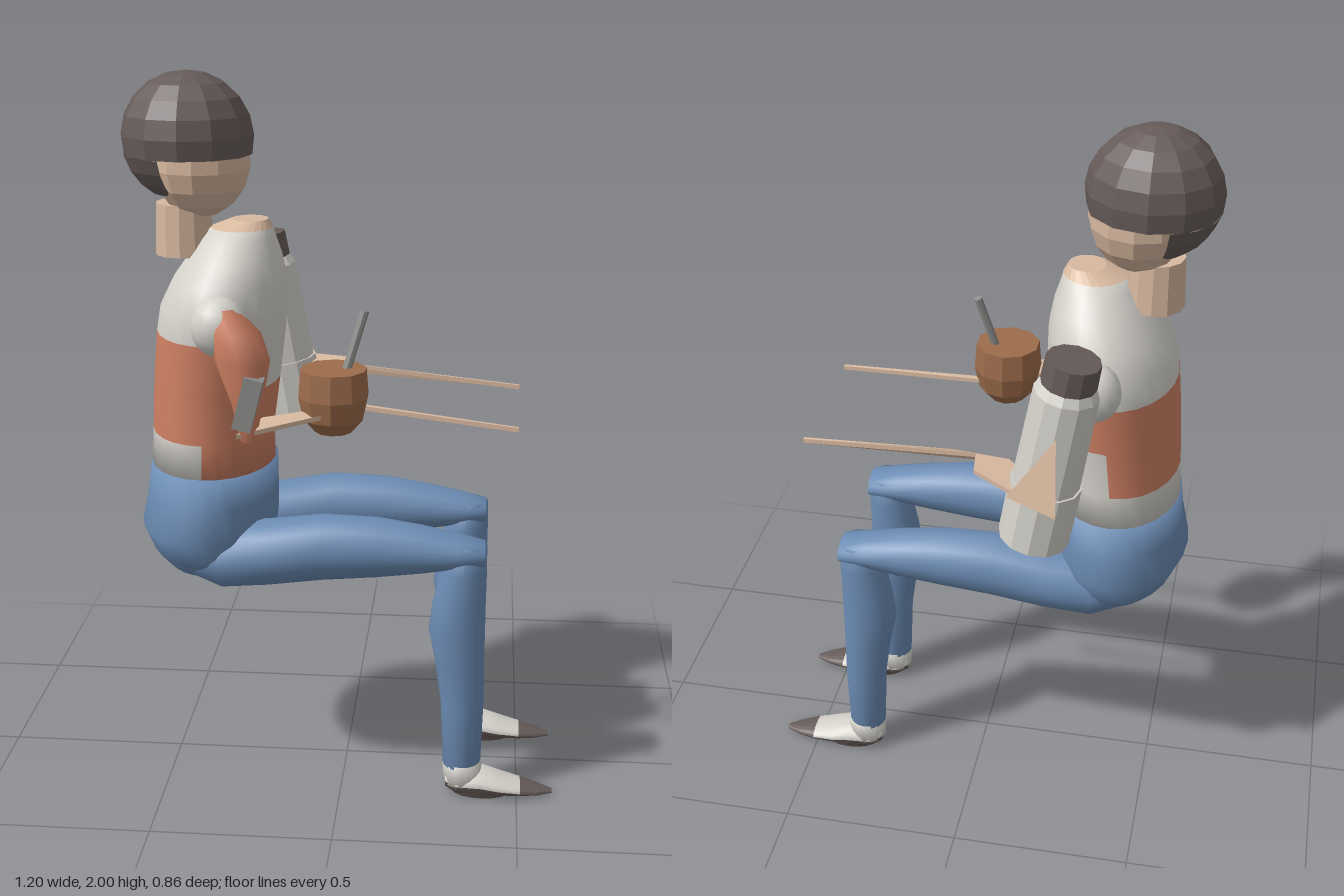
import * as THREE from 'three';

const mat = (name, color, side = THREE.FrontSide, flatShading = false) => {
  const m = new THREE.MeshStandardMaterial({ color });
  m.name = name;
  m.side = side;
  m.flatShading = flatShading;
  return m;
};

export function createModel() {
  const root = new THREE.Group();
  const dark = mat('dark brown', 0x665b59, THREE.DoubleSide, true);
  const skin = mat('skin', 0xd8b9a0, THREE.DoubleSide, true);
  const white = mat('off white', 0xd5d2cb);
  const orange = mat('orange', 0xce8063);
  const blue = mat('denim blue', 0x6c8cb4);
  const brown = mat('gourd brown', 0x9d6c4b, THREE.FrontSide, true);
  const grey = mat('grey', 0x8e8e8c, THREE.FrontSide, true);

  const add = (name, geo, material, x = 0, y = 0, z = 0, parent = root) => {
    const m = new THREE.Mesh(geo, material);
    m.name = name;
    m.position.set(x, y, z);
    parent.add(m);
    return m;
  };

  // Skin over elliptical rings [x, y, z, radiusU, radiusZ-like], ascending along the axis.
  // pick(row, angle) chooses the material index of each face.
  const loft = (rings, axis = 'y', n = 16, pick = () => 0) => {
    const pos = [], buckets = [];
    for (const [x, y, z, ru, rv] of rings) {
      for (let j = 0; j < n; j++) {
        const a = (j / n) * Math.PI * 2, c = Math.cos(a), s = Math.sin(a);
        if (axis === 'y') pos.push(x + ru * c, y, z + rv * s);
        else pos.push(x, y + ru * s, z + rv * c);
      }
    }
    const last = (rings.length - 1) * n, c0 = rings.length * n;
    pos.push(...rings[0].slice(0, 3), ...rings[rings.length - 1].slice(0, 3));
    const put = (k, ...ids) => (buckets[k] ??= []).push(...ids);
    for (let j = 0; j < n; j++) {
      const k = (j + 1) % n, angle = ((j + 0.5) / n) * 360;
      for (let i = 0; i < rings.length - 1; i++) {
        const a = i * n + j, b = i * n + k;
        put(pick(i, angle), a, a + n, b + n, a, b + n, b);
      }
      put(pick(0, angle), c0, j, k);
      put(pick(rings.length - 2, angle), c0 + 1, last + k, last + j);
    }
    const g = new THREE.BufferGeometry();
    g.setAttribute('position', new THREE.Float32BufferAttribute(pos, 3));
    g.setIndex(buckets.flat());
    let start = 0;
    buckets.forEach((b, i) => { g.addGroup(start, b.length, i); start += b.length; });
    g.computeVertexNormals();
    return g;
  };

  // Head, hair and neck
  const face = add('face', new THREE.SphereGeometry(1, 12, 9), skin, -0.392, 1.77, 0.03);
  face.scale.set(0.137, 0.16, 0.145);
  const hair = new THREE.Group();
  hair.name = 'hair';
  hair.position.set(-0.425, 1.825, 0.03);
  hair.scale.set(0.18, 0.175, 0.166);
  root.add(hair);
  add('hairTop', new THREE.SphereGeometry(1, 12, 6, 0, Math.PI * 2, 0, 1.83), dark, 0, 0, 0, hair);
  add('hairBack', new THREE.SphereGeometry(1, 6, 3, -1.25, 2.5, 1.83, 0.75), dark, 0, 0, 0, hair);
  add('neck', new THREE.CylinderGeometry(0.075, 0.08, 0.14, 12), skin, -0.44, 1.58, 0.03);

  // Torso with a colour blocked shirt and a bare neckline
  const shirtRings = [
    [-0.372, 0.92, 0.03, 0.173, 0.23], [-0.37, 1.03, 0.03, 0.168, 0.225],
    [-0.357, 1.17, 0.03, 0.174, 0.232], [-0.342, 1.31, 0.03, 0.176, 0.245],
    [-0.335, 1.38, 0.03, 0.171, 0.245], [-0.318, 1.45, 0.03, 0.153, 0.222],
    [-0.302, 1.51, 0.03, 0.126, 0.17], [-0.292, 1.56, 0.03, 0.1, 0.118],
    [-0.283, 1.585, 0.03, 0.085, 0.085], [-0.26, 1.608, 0.03, 0.05, 0.05],
  ];
  const shirtColour = (row, angle) => {
    if (row > 7) return 2;
    if (row > 2) return 0;
    if (angle > 90 && angle < 270) return row > 0 ? 1 : 0;
    if (angle > 180) return row === 2 ? 1 : 0;
    return row < 2 || angle > 45 ? 1 : 0;
  };
  add('shirt', loft(shirtRings, 'y', 24, shirtColour), [white, orange, skin]);

  // Hips
  add('hips', loft([
    [-0.36, 0.605, 0.03, 0.06, 0.08], [-0.375, 0.64, 0.03, 0.13, 0.19],
    [-0.38, 0.69, 0.03, 0.165, 0.245], [-0.385, 0.76, 0.03, 0.19, 0.275],
    [-0.375, 0.85, 0.03, 0.181, 0.262], [-0.37, 0.935, 0.03, 0.176, 0.234],
  ], 'y', 24), blue);

  // Legs and shoes
  for (const s of [1, -1]) {
    const side = s > 0 ? 'left' : 'right', z = 0.03 + s * 0.172;
    add(side + 'Thigh', loft([
      [-0.44, 0.705, z - s * 0.03, 0.06, 0.07], [-0.33, 0.695, z - s * 0.03, 0.093, 0.11],
      [-0.2, 0.71, z - s * 0.01, 0.091, 0.098], [-0.05, 0.733, z, 0.092, 0.086],
      [0.1, 0.737, z, 0.083, 0.081], [0.22, 0.735, z, 0.066, 0.075],
      [0.32, 0.732, z, 0.047, 0.068], [0.395, 0.728, z, 0.033, 0.058],
    ], 'x'), blue);
    add(side + 'Shin', loft([
      [0.343, 0.09, z, 0.053, 0.056], [0.341, 0.28, z, 0.06, 0.06],
      [0.332, 0.4, z, 0.068, 0.066], [0.322, 0.5, z, 0.078, 0.069],
      [0.327, 0.58, z, 0.073, 0.068], [0.338, 0.68, z, 0.063, 0.066],
      [0.348, 0.755, z, 0.052, 0.055],
    ]), blue);
    add(side + 'Shoe', loft([
      [0.345, 0.035, z, 0.054, 0.056], [0.345, 0.1, z, 0.055, 0.057],
    ]), white);
    // dark sole and toe cap, white upper
    add(side + 'ShoeFront', loft([
      [0.298, 0.045, z, 0.027, 0.035], [0.33, 0.038, z, 0.036, 0.055],
      [0.4, 0.038, z, 0.036, 0.06], [0.45, 0.029, z, 0.027, 0.058],
      [0.51, 0.02, z, 0.019, 0.048], [0.56, 0.014, z, 0.012, 0.032],
      [0.6, 0.01, z, 0.005, 0.01],
    ], 'x', 16, (row, a) => (row > 3 || a > 180 ? 1 : 0)), [white, dark]);
    add(side + 'Sole', loft([
      [0.4, 0, z, 0.08, 0.045], [0.395, 0.03, z, 0.1, 0.056],
    ]), dark);
  }

  // Left arm
  const sleeve = add('leftSleeve', new THREE.SphereGeometry(1, 16, 10), white, -0.305, 1.375, 0.31);
  sleeve.scale.set(0.076, 0.08, 0.07);
  add('leftArm', loft([
    [-0.225, 1.1, 0.36, 0.022, 0.07], [-0.23, 1.19, 0.357, 0.042, 0.066],
    [-0.243, 1.3, 0.345, 0.074, 0.08], [-0.258, 1.37, 0.337, 0.066, 0.072],
    [-0.285, 1.43, 0.325, 0.025, 0.035],
  ], 'y', 8), orange);
  add('wristBand', new THREE.BoxGeometry(0.05, 0.14, 0.05), grey, -0.22, 1.2, 0.402).rotation.z = -0.25;

  // Right arm, bent behind the flask
  const sleeveR = add('rightSleeve', new THREE.SphereGeometry(1, 16, 10), white, -0.325, 1.375, -0.23);
  sleeveR.scale.set(0.068, 0.08, 0.062);
  add('rightArm', loft([
    [-0.23, 1.2, -0.3, 0.03, 0.05], [-0.235, 1.3, -0.275, 0.06, 0.065],
    [-0.25, 1.37, -0.25, 0.05, 0.05], [-0.28, 1.41, -0.24, 0.02, 0.03],
  ], 'y', 8), orange);

  // Flat hands that run out into long thin points
  const hand = (name, outline) => {
    const shape = new THREE.Shape(outline.map(([x, z]) => new THREE.Vector2(x, -z)));
    const g = new THREE.ExtrudeGeometry(shape, { depth: 0.012, bevelEnabled: false });
    g.rotateX(-Math.PI / 2);
    const p = g.attributes.position;
    for (let i = 0; i < p.count; i++) p.setY(i, p.getY(i) + 1.13 - 0.085 * Math.abs(p.getX(i)));
    g.computeVertexNormals();
    add(name, g, skin);
  };
  hand('leftHand', [[-0.25, 0.425], [-0.05, 0.3], [0.06, 0.195], [0.475, 0.245], [0.475, 0.235],
    [0.06, 0.178], [-0.08, 0.24], [-0.2, 0.28]]);
  hand('rightHand', [[-0.26, -0.43], [-0.02, -0.29], [-0.01, -0.212], [0.48, -0.172], [0.48, -0.162],
    [0.05, -0.198], [-0.1, -0.21], [-0.24, -0.35]]);
  const palm = new THREE.BufferGeometry().setAttribute('position', new THREE.Float32BufferAttribute(
    [-0.25, 1.32, -0.385, -0.26, 1.11, -0.43, -0.12, 1.12, -0.37], 3));
  palm.computeVertexNormals();
  add('rightPalm', palm, skin);

  // Flask
  const flask = new THREE.Group();
  flask.name = 'flask';
  flask.position.set(-0.183, 0.955, -0.292);
  flask.rotation.z = 0.17;
  root.add(flask);
  const whiteFacets = white.clone();
  whiteFacets.flatShading = true;
  const tube = (name, r0, r1, y0, y1, m) =>
    add(name, new THREE.CylinderGeometry(r1, r0, y1 - y0, 12), m, 0, (y0 + y1) / 2, 0, flask);
  tube('flaskBase', 0.096, 0.096, 0, 0.18, whiteFacets);
  tube('flaskBody', 0.09, 0.086, 0.18, 0.46, whiteFacets);
  tube('flaskShoulder', 0.086, 0.074, 0.46, 0.485, whiteFacets);
  tube('flaskCap', 0.074, 0.072, 0.485, 0.555, dark);

  // Gourd cup with straw
  const profile = [[0, -0.105], [0.05, -0.098], [0.083, -0.06], [0.096, 0], [0.09, 0.075], [0, 0.075]];
  add('gourdCup', new THREE.LatheGeometry(profile.map(([x, y]) => new THREE.Vector2(x, y)), 10),
    brown, -0.018, 1.17, 0.215);
  const path = new THREE.LineCurve3(new THREE.Vector3(-0.01, 1.15, 0.218), new THREE.Vector3(0.062, 1.395, 0.182));
  const straw = add('straw', new THREE.CylinderGeometry(0.012, 0.012, path.getLength(), 8), grey);
  straw.position.copy(path.getPoint(0.5));
  straw.quaternion.setFromUnitVectors(new THREE.Vector3(0, 1, 0), path.getTangent(0));

  return root;
}
